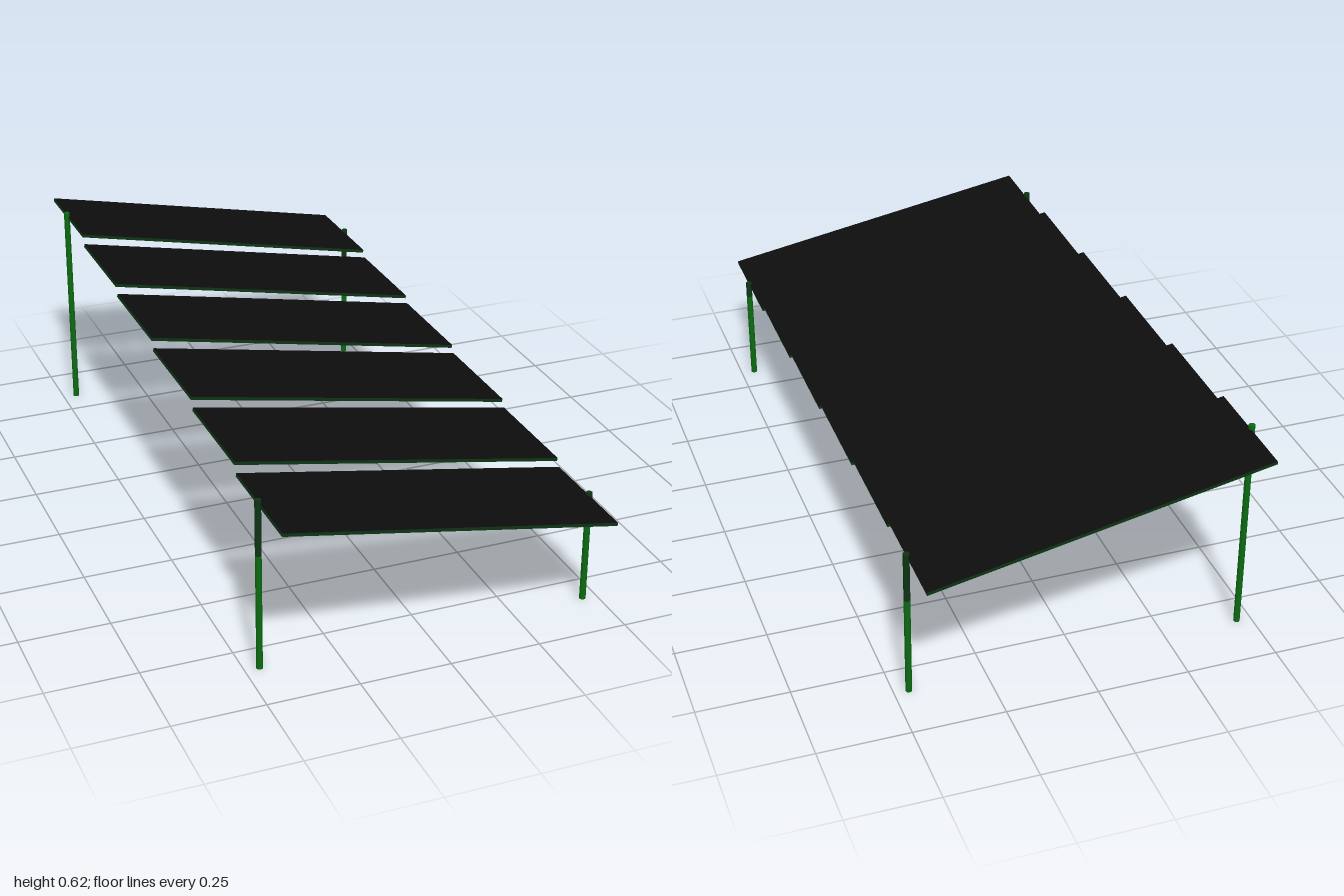
import * as THREE from 'three';

export function createModel() {
  const model = new THREE.Group();
  const mat = (name, color) => {
    const m = new THREE.MeshStandardMaterial({ color });
    m.name = name;
    return m;
  };
  const black = mat('panelBlack', 0x0d0d0d);
  const edgeGreen = mat('edgeGreen', 0x0e3414);
  const postGreen = mat('postGreen', 0x0b6a12);

  // Six level-stepped panels, each sloping down from -x to +x
  const count = 6, depth = 0.325, thick = 0.009, halfX = 0.457;
  const pitch = (2 - depth) / (count - 1);
  for (let i = 0; i < count; i++) {
    const yHigh = 0.472 + i * 0.027;
    const yLow = 0.311 + i * 0.0217;
    const drop = yHigh - yLow;
    const geo = new THREE.BoxGeometry(Math.hypot(2 * halfX, drop), thick, depth);
    // Black faces above and below, green rim around the sides
    const panel = new THREE.Mesh(geo, [edgeGreen, edgeGreen, black, black, edgeGreen, edgeGreen]);
    panel.name = 'panel' + (i + 1);
    panel.rotation.z = -Math.atan2(drop, 2 * halfX);
    panel.position.set(0, (yHigh + yLow) / 2, 1 - depth / 2 - i * pitch);
    model.add(panel);
  }

  // Corner posts: lower shaft plus an optional darker upper sleeve
  const shaft = (name, x, z, y0, y1, material) => {
    const geo = new THREE.CylinderGeometry(0.009, 0.009, y1 - y0, 8);
    const mesh = new THREE.Mesh(geo, material);
    mesh.name = name;
    mesh.position.set(x, (y0 + y1) / 2, z);
    model.add(mesh);
  };
  const posts = [
    ['frontRightPost', -0.46, 0.84, 0.33, 0.487],
    ['frontLeftPost', 0.46, 0.84, 0.275, 0.322],
    ['backRightPost', -0.46, -0.84, 0.622, 0.622],
    ['backLeftPost', 0.46, -0.84, 0.29, 0.432],
  ];
  for (const [name, x, z, split, top] of posts) {
    shaft(name, x, z, 0, split, postGreen);
    if (top > split) shaft(name + 'Sleeve', x, z, split, top, edgeGreen);
  }
  return model;
}
